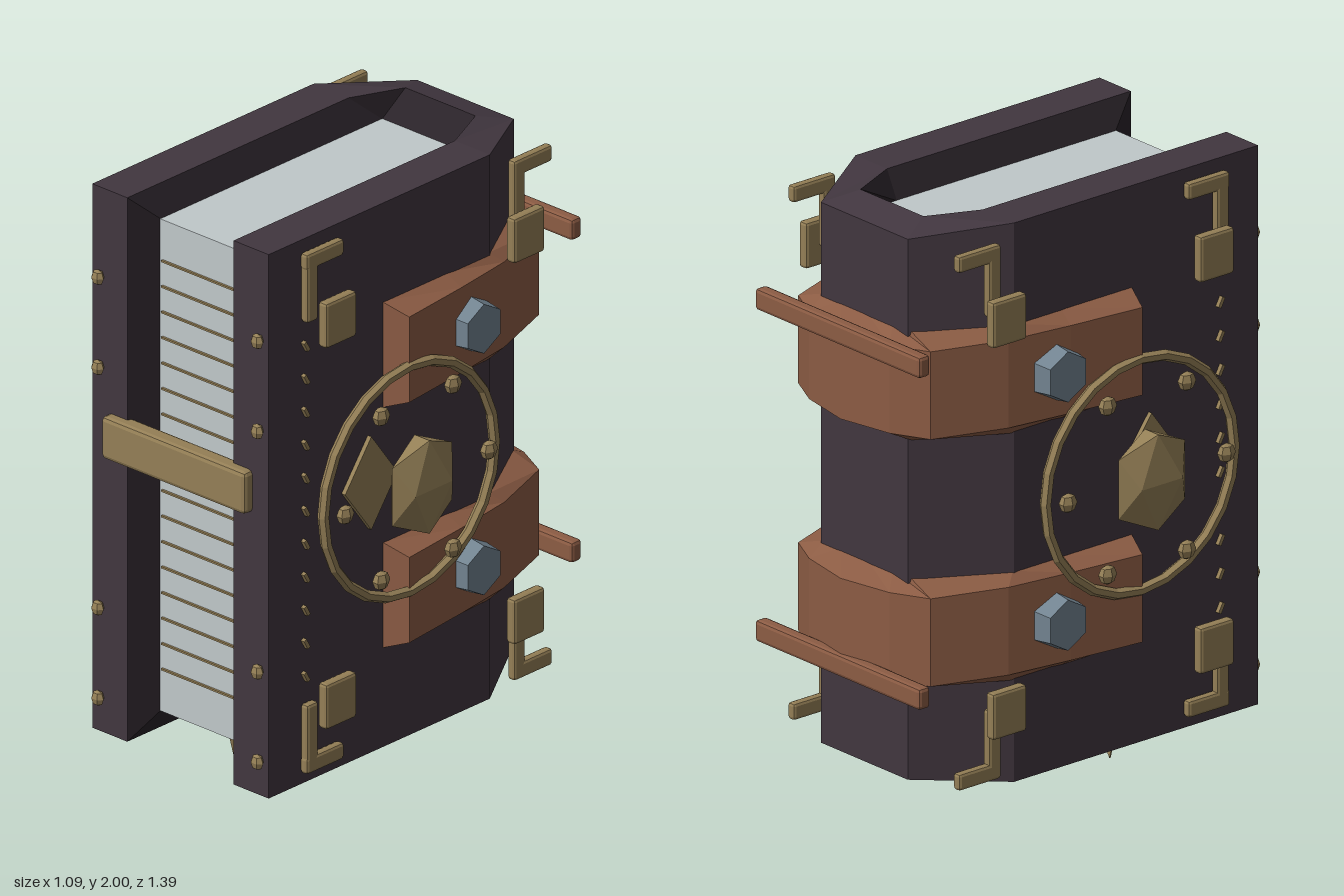
import * as THREE from 'three';
import { RoundedBoxGeometry } from 'three/addons/geometries/RoundedBoxGeometry.js';

const MID = 1.095; // middle height of the book

const mat = (name, color) => {
  const m = new THREE.MeshStandardMaterial({ color });
  m.name = name;
  return m;
};

// Facet a geometry: one normal per triangle
const facet = (g) => {
  const f = g.index ? g.toNonIndexed() : g;
  f.computeVertexNormals();
  return f;
};

const fromQuads = (quads) => {
  const pos = quads.flatMap(([a, b, c, d]) => [a, b, c, a, c, d].flat());
  const g = new THREE.BufferGeometry();
  g.setAttribute('position', new THREE.Float32BufferAttribute(pos, 3));
  g.computeVertexNormals();
  return g;
};

// Quads joining successive rings, only for the listed ring edges
const loft = (rings, edges) => {
  const quads = [];
  for (let i = 0; i < rings.length - 1; i++) {
    for (const k of edges) {
      const n = (k + 1) % rings[i].length;
      quads.push([rings[i][k], rings[i][n], rings[i + 1][n], rings[i + 1][k]]);
    }
  }
  return quads;
};

const mirrorRing = (r) => r.map(([x, y, z]) => [-x, y, z]);

export function createModel() {
  const group = new THREE.Group();
  const leather = mat('dark leather', 0x41363f);
  const lining = mat('dark lining', 0x2a2329);
  const paper = mat('paper', 0xc0c8ca);
  const strapLeather = mat('brown leather', 0x8c5c44);
  const brass = mat('brass', 0x947f56);
  const steel = mat('steel', 0x728390);

  const add = (name, geo, material, x = 0, y = 0, z = 0) => {
    const m = new THREE.Mesh(geo, material);
    m.name = name;
    m.position.set(x, y, z);
    group.add(m);
    return m;
  };
  const bevelBox = (w, h, d, r) => facet(new RoundedBoxGeometry(w, h, d, 1, r));

  // Cover: a U-shaped shell with bevelled inner lip
  const coverRing = ([ox, oz, oh], [ix, iz], [px, pz]) => [
    [ox, MID + oh, oz], [ox, MID - oh, oz],
    [ix, MID - 0.905, iz], [px, MID - 0.82, pz],
    [px, MID + 0.815, pz], [ix, MID + 0.905, iz],
  ];
  const half = [
    coverRing([0.365, 0.66, 0.905], [0.22, 0.66], [0.175, 0.56]),
    coverRing([0.365, -0.31, 0.905], [0.22, -0.31], [0.175, -0.31]),
    coverRing([0.2, -0.59, 0.875], [0.145, -0.48], [0.175, -0.41]),
  ];
  const rings = [...half, ...half.map(mirrorRing).reverse()];
  const r = rings[0], e = rings[rings.length - 1];
  add('cover', fromQuads([
    ...loft(rings, [0, 1, 5]),
    [r[5], r[2], r[1], r[0]], [e[0], e[1], e[2], e[5]],
  ]), leather);
  add('coverLining', fromQuads([
    ...loft(rings, [2, 3, 4]),
    [r[4], r[3], r[2], r[5]], [e[5], e[2], e[3], e[4]],
  ]), lining);

  // Pages and their edge lines
  add('pages', new THREE.BoxGeometry(0.352, 1.637, 0.975), paper, 0, 1.0925, 0.075);
  const lineGeo = new THREE.BoxGeometry(0.33, 0.006, 0.012);
  for (let i = 0; i < 17; i++) add('pageLine', lineGeo, brass, 0, 1.776 - i * 0.0849, 0.564);

  // Ribbon bookmark with a notched end
  const ribbonShape = new THREE.Shape([
    [-0.043, 0.3], [-0.043, 0], [0, 0.042], [0.043, 0], [0.043, 0.3],
  ].map(([x, y]) => new THREE.Vector2(x, y)));
  const ribbon = add('ribbon',
    new THREE.ExtrudeGeometry(ribbonShape, { depth: 0.005, bevelEnabled: false }),
    brass, 0, 0, 0.347);
  ribbon.rotation.x = 0.27;

  // Straps wrapping the spine, with a bar behind each
  const strapOuter = [[0.447, 0.13], [0.418, -0.13], [0.387, -0.35], [0.305, -0.59], [0.185, -0.65], [0, -0.685]];
  const strapInner = [[0.36, 0.16], [0.36, -0.12], [0.36, -0.31], [0.2, -0.58], [0.12, -0.58], [0, -0.58]];
  const strapHalf = strapOuter.map(([x, z], i) => {
    const [u, w] = strapInner[i];
    return [[x, 0.142, z], [x, -0.142, z], [u, -0.177, w], [u, 0.177, w]];
  });
  const strapRings = [...strapHalf, ...strapHalf.slice(0, -1).map(mirrorRing).reverse()];
  const s0 = strapRings[0], s1 = strapRings[strapRings.length - 1];
  const strapGeo = fromQuads([
    ...loft(strapRings, [0, 1, 2, 3]),
    [s0[3], s0[2], s0[1], s0[0]], [s1[0], s1[1], s1[2], s1[3]],
  ]);
  const barGeo = bevelBox(0.76, 0.07, 0.046, 0.012);
  for (const v of [1, -1]) {
    add('strap', strapGeo, strapLeather, 0, MID + v * 0.4, 0);
    add('spineBar', barGeo, strapLeather, 0, MID + v * 0.537, -0.677);
  }

  // Front clasp and cover-edge rivets
  add('clasp', bevelBox(0.595, 0.14, 0.06, 0.014), brass, 0, 1.19, 0.665);
  const rivetGeo = facet(new THREE.SphereGeometry(1, 6, 4));
  for (const x of [-0.33, 0.33]) {
    for (const y of [0.305, 0.605, 1.405, 1.705]) {
      add('edgeRivet', rivetGeo, brass, x, y, 0.673).scale.set(0.024, 0.026, 0.018);
    }
  }

  // Fittings on both covers
  const ringGeo = facet(new THREE.TorusGeometry(0.375, 0.018, 6, 24));
  const gemGeo = new THREE.IcosahedronGeometry(1);
  const diamondGeo = facet(new THREE.CylinderGeometry(1, 1, 0.02, 4));
  const boltGeo = facet(new THREE.CylinderGeometry(0.082, 0.097, 0.1, 6, 1, false, Math.PI / 6));
  const plateGeo = bevelBox(0.036, 0.15, 0.135, 0.01);
  const uprightGeo = bevelBox(0.03, 0.23, 0.05, 0.01);
  const crossGeo = bevelBox(0.03, 0.055, 0.165, 0.01);
  const stitchGeo = new THREE.BoxGeometry(0.016, 0.035, 0.012);
  for (const s of [1, -1]) {
    // Medallion
    add('medallionRing', ringGeo, brass, s * 0.44, MID, 0.125).rotation.y = Math.PI / 2;
    add('medallionGem', gemGeo, brass, s * 0.495, MID, 0.125).scale.set(0.059, 0.182, 0.155);
    const diamond = add('medallionDiamond', diamondGeo, brass, s * 0.37, MID, 0.225);
    diamond.rotation.z = -s * Math.PI / 2;
    diamond.scale.set(0.155, 1, 0.115);
    for (let i = 0; i < 6; i++) {
      const a = (i * Math.PI) / 3;
      add('medallionRivet', rivetGeo, brass,
        s * 0.475, MID + 0.315 * Math.sin(a), 0.125 + 0.315 * Math.cos(a)).scale.set(0.022, 0.032, 0.032);
    }

    // Stitches along the opening edge
    for (let i = 0; i < 11; i++) {
      add('stitch', stitchGeo, brass, s * 0.371, MID + (i - 5) * 0.11, 0.505).rotation.x = 0.5;
    }

    for (const v of [1, -1]) {
      // Strap bolt
      add('strapBolt', boltGeo, steel, s * 0.414, MID + v * 0.402, -0.18).rotation.z = -s * Math.PI / 2;

      // Corner brackets: upright, crosspiece and square plate
      for (const [uz, cz, pz] of [[0.497, 0.442, 0.428], [-0.41, -0.472, -0.397]]) {
        add('bracketUpright', uprightGeo, brass, s * 0.381, MID + v * 0.75, uz);
        add('bracketCross', crossGeo, brass, s * 0.381, MID + v * 0.838, cz);
        add('bracketPlate', plateGeo, brass, s * 0.431, MID + v * 0.634, pz);
      }
    }
  }
  return group;
}
